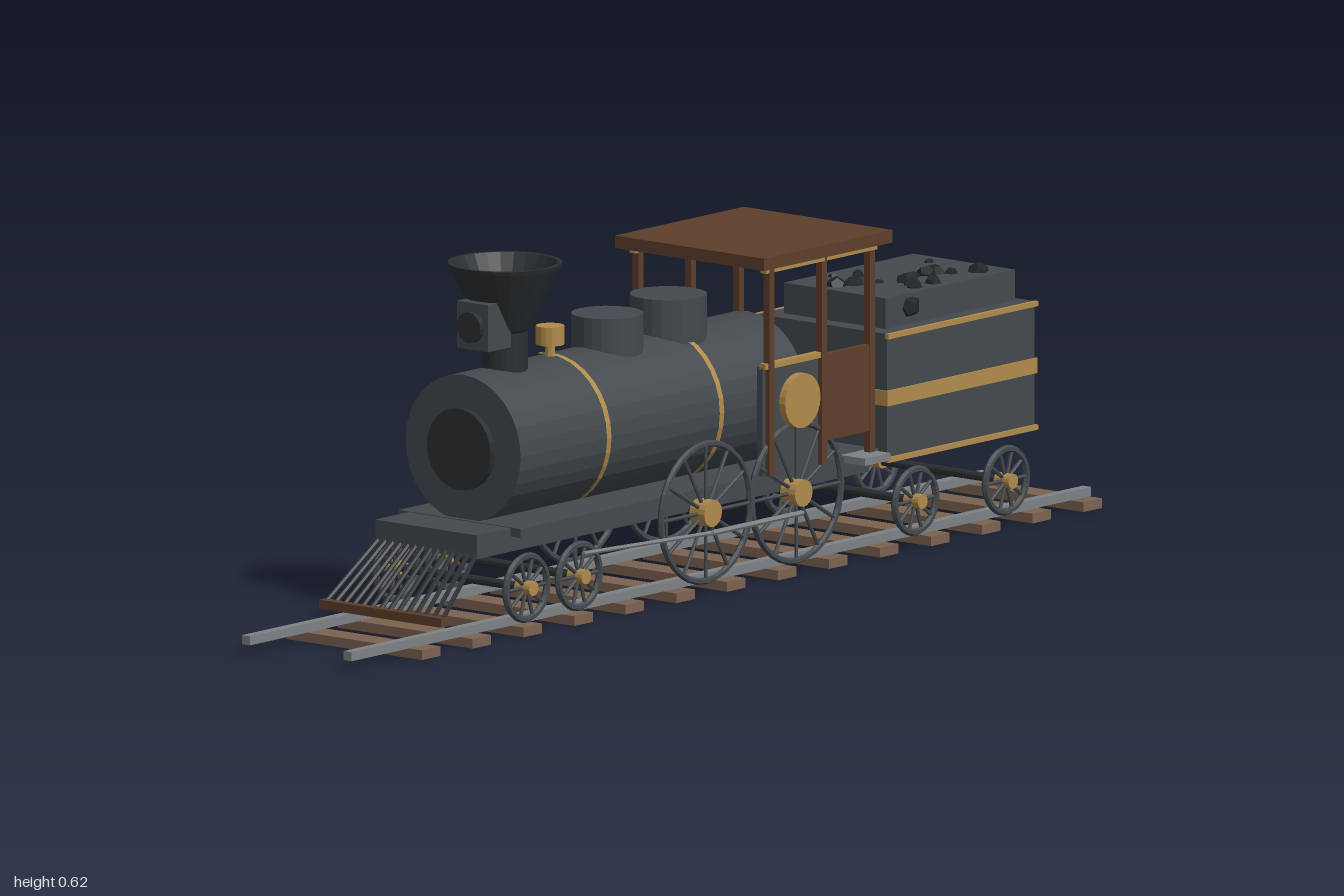
import * as THREE from 'three';

const mat = (color) => new THREE.MeshStandardMaterial({ color, flatShading: true, side: THREE.DoubleSide });
const IRON = mat(0x43494d), DARK = mat(0x2b2f32), STEEL = mat(0x7d8284), GOLD = mat(0xb08a4c);
const WOOD = mat(0x5e3d2b), TIE = mat(0x7c6250), COAL = mat(0x222527);

export function createModel() {
  const root = new THREE.Group();
  root.name = 'steamTrain';

  const add = (name, geo, material, x = 0, y = 0, z = 0, parent = root) => {
    const m = new THREE.Mesh(geo, material);
    m.name = name;
    m.position.set(x, y, z);
    parent.add(m);
    return m;
  };
  // Box given by its limits on each axis
  const box = (name, material, x0, x1, y0, y1, z0, z1) =>
    add(name, new THREE.BoxGeometry(x1 - x0, y1 - y0, z1 - z0), material, (x0 + x1) / 2, (y0 + y1) / 2, (z0 + z1) / 2);
  // Round bar between two points
  const bar = (name, material, a, b, r, parent = root) => {
    const p = new THREE.Vector3(...a), q = new THREE.Vector3(...b), d = q.clone().sub(p);
    const m = add(name, new THREE.CylinderGeometry(r, r, d.length(), 6), material, 0, 0, 0, parent);
    m.position.copy(p).add(q).multiplyScalar(0.5);
    m.quaternion.setFromUnitVectors(new THREE.Vector3(0, 1, 0), d.normalize());
    return m;
  };
  const upright = (name, material, x, y0, y1, r0, r1 = r0, sides = 24) =>
    add(name, new THREE.CylinderGeometry(r1, r0, y1 - y0, sides), material, x, (y0 + y1) / 2, 0);
  const alongX = (r, len, sides) => new THREE.CylinderGeometry(r, r, len, sides).rotateZ(Math.PI / 2);
  const alongZ = (r, len, sides) => new THREE.CylinderGeometry(r, r, len, sides).rotateX(Math.PI / 2);

  // Track
  for (let i = 0; i < 14; i++) {
    const x = -0.82 + i * 0.1377;
    box('railTie', TIE, x - 0.025, x + 0.025, 0, 0.017, -0.153, 0.153);
  }
  for (const s of [-1, 1]) add('rail', new THREE.BoxGeometry(2, 0.016, 0.018), STEEL, 0, 0.025, s * 0.115);

  // Spoked wheels, in pairs on an axle
  const wheel = (x, y, z, r, spokes, hub) => {
    const g = new THREE.Group();
    g.name = 'wheel';
    g.position.set(x, y, z);
    root.add(g);
    const t = r > 0.1 ? 0.006 : 0.0065;
    add('tyre', new THREE.TorusGeometry(r - t, t, 6, 32), IRON, 0, 0, 0, g);
    add('hub', alongZ(hub, 0.034, 16), GOLD, 0, 0, 0, g);
    for (let i = 0; i < spokes; i++) {
      const a = (i / spokes) * Math.PI * 2;
      bar('spoke', IRON, [0, 0, 0], [Math.cos(a) * (r - t), Math.sin(a) * (r - t), 0], 0.0035, g);
    }
  };
  const wheelPair = (x, y, r, spokes, hub) => {
    for (const s of [-1, 1]) wheel(x, y, s * 0.147, r, spokes, hub);
    add('axle', alongZ(0.008, 0.28, 10), DARK, x, y, 0);
  };
  for (const x of [-0.555, -0.413, 0.497, 0.742]) wheelPair(x, 0.085, 0.062, 10, 0.013);
  for (const x of [-0.07, 0.175]) wheelPair(x, 0.147, 0.127, 12, 0.024);

  // Driving rods
  for (const s of [-1, 1]) {
    bar('couplingRod', STEEL, [-0.07, 0.112, s * 0.161], [0.175, 0.112, s * 0.161], 0.005);
    bar('pistonRod', STEEL, [-0.41, 0.125, s * 0.155], [-0.07, 0.112, s * 0.16], 0.004);
  }

  // Engine frame and deck
  box('frame', IRON, -0.65, 0.41, 0.145, 0.187, -0.115, 0.115);
  box('deck', IRON, -0.56, 0.41, 0.172, 0.188, -0.138, 0.138);
  box('coupling', STEEL, 0.3, 0.46, 0.17, 0.19, -0.02, 0.02);

  // Cowcatcher
  box('cowcatcherBeam', WOOD, -0.775, -0.757, 0.045, 0.061, -0.138, 0.138);
  for (let i = 0; i < 14; i++) {
    const k = (i / 13) * 2 - 1;
    bar('cowcatcherBar', DARK, [-0.645, 0.153, k * 0.11], [-0.766, 0.054, k * 0.132], 0.0045);
  }

  // Boiler with smokebox door and hoops
  add('boiler', alongX(0.13, 0.77, 32), IRON, -0.165, 0.312, 0);
  add('smokeboxDoor', alongX(0.072, 0.02, 24), DARK, -0.552, 0.312, 0);
  for (const x of [-0.315, -0.01]) {
    add('boilerHoop', new THREE.CylinderGeometry(0.134, 0.134, 0.012, 32, 1, true).rotateZ(Math.PI / 2), GOLD, x, 0.312, 0);
  }
  upright('frontDome', IRON, -0.16, 0.42, 0.495, 0.063);
  upright('rearDome', IRON, 0.005, 0.42, 0.505, 0.067);
  upright('bellNeck', GOLD, -0.315, 0.43, 0.465, 0.009, 0.009, 10);
  upright('bell', GOLD, -0.315, 0.462, 0.495, 0.025, 0.025, 16);

  // Funnel, hollow at the top
  const profile = [[0.04, 0.42], [0.04, 0.505], [0.045, 0.51], [0.098, 0.618], [0.1, 0.625], [0.092, 0.625], [0.04, 0.525], [0, 0.525]];
  add('funnel', new THREE.LatheGeometry(profile.map((p) => new THREE.Vector2(...p)), 24), DARK, -0.437, 0, 0);

  // Headlamp
  box('headlamp', IRON, -0.525, -0.462, 0.482, 0.565, -0.035, 0.035);
  add('headlampLens', alongX(0.027, 0.014, 16), DARK, -0.529, 0.523, 0);

  // Cab
  box('cabRoof', WOOD, 0.062, 0.41, 0.556, 0.578, -0.168, 0.168);
  for (const s of [-1, 1]) {
    const side = (name, m, x0, x1, y0, y1, z0, z1) =>
      box(name, m, x0, x1, y0, y1, Math.min(s * z0, s * z1), Math.max(s * z0, s * z1));
    for (const x of [0.1, 0.242, 0.372]) side('cabPost', WOOD, x - 0.007, x + 0.007, 0.187, 0.556, 0.141, 0.155);
    side('roofRail', GOLD, 0.085, 0.385, 0.546, 0.557, 0.141, 0.155);
    side('cabPanel', IRON, 0.085, 0.25, 0.187, 0.38, 0.134, 0.146);
    side('cabPanelTrim', GOLD, 0.085, 0.25, 0.376, 0.386, 0.139, 0.153);
    side('cabDoor', WOOD, 0.25, 0.378, 0.228, 0.38, 0.14, 0.154);
    side('cabStep', STEEL, 0.315, 0.385, 0.177, 0.19, 0.13, 0.185);
    add('cabMedallion', alongZ(0.048, 0.014, 24), GOLD, 0.175, 0.31, s * 0.155);
  }

  // Tender
  box('tenderBody', IRON, 0.42, 0.82, 0.163, 0.39, -0.147, 0.147);
  box('tenderBand', GOLD, 0.417, 0.823, 0.263, 0.29, -0.151, 0.151);
  for (const s of [-1, 1]) for (const y of [0.168, 0.386]) {
    add('tenderTrim', new THREE.BoxGeometry(0.406, 0.009, 0.008), GOLD, 0.62, y, s * 0.149);
  }
  box('coalBin', IRON, 0.455, 0.805, 0.39, 0.444, -0.115, 0.115);

  // Coal lumps
  let seed = 7;
  const rand = () => (seed = (seed * 16807) % 2147483647) / 2147483647;
  for (let i = 0; i < 18; i++) {
    const lump = add('coalLump', new THREE.DodecahedronGeometry(0.01 + rand() * 0.011, 0), COAL,
      0.475 + rand() * 0.31, 0.441, (rand() * 2 - 1) * 0.1);
    lump.rotation.set(rand() * 3, rand() * 3, rand() * 3);
  }
  for (const [x, z] of [[0.53, 0.105], [0.76, -0.11], [0.7, -0.115], [0.52, 0.11]]) {
    add('coalLump', new THREE.DodecahedronGeometry(0.021, 0), COAL, x, 0.42, z);
  }
  return root;
}
